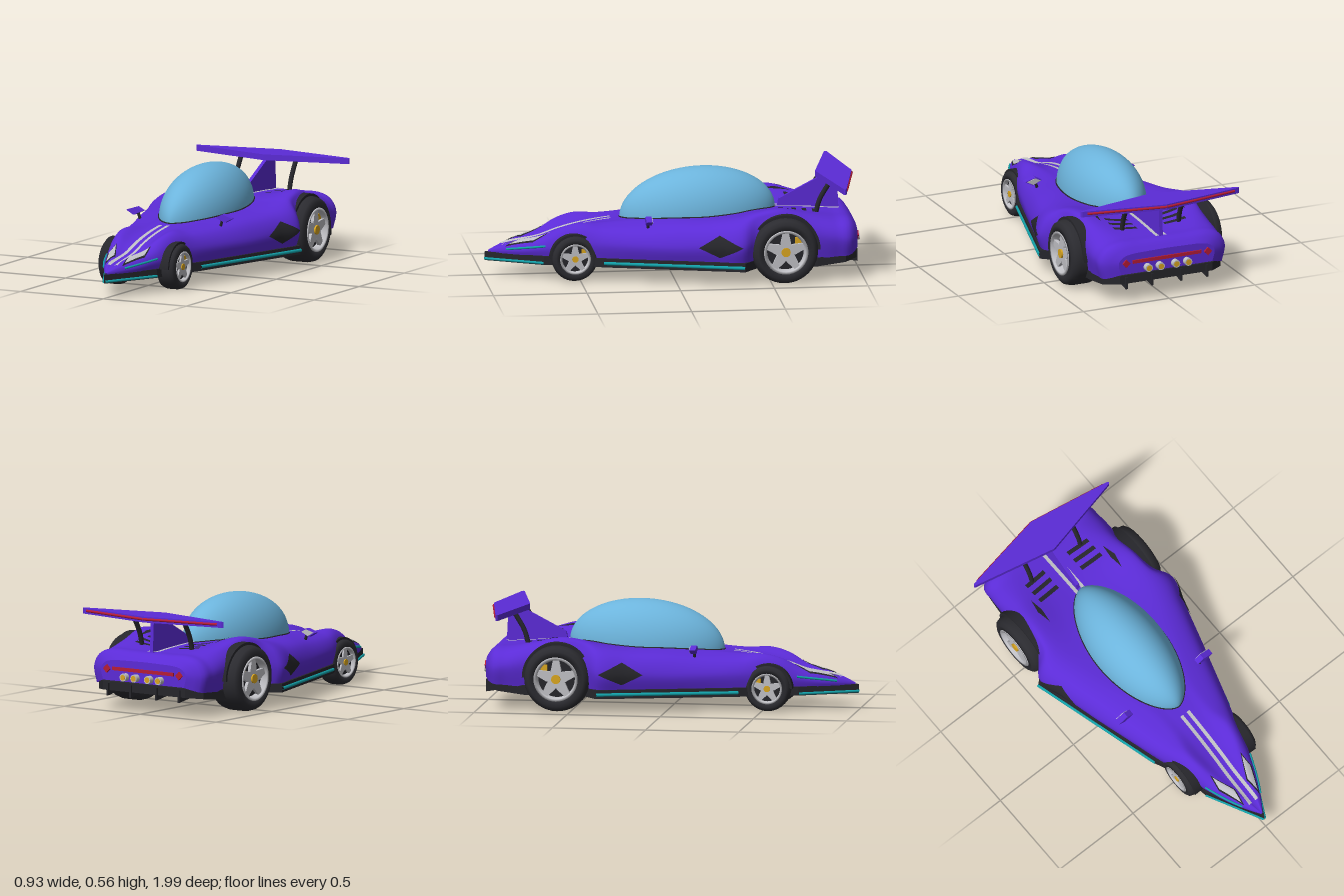
import * as THREE from 'three';

const mat = (name, color) => new THREE.MeshStandardMaterial({ name, color, side: THREE.DoubleSide });
const V = (x, y, z) => new THREE.Vector3(x, y, z);

// Body sections, back to front: z, half width, bottom y, waist y, fender x, fender y, centre y
const SECTIONS = [
  [-0.97, 0.28, 0.16, 0.22, 0.20, 0.27, 0.275], [-0.94, 0.345, 0.14, 0.22, 0.24, 0.308, 0.308],
  [-0.85, 0.368, 0.13, 0.23, 0.25, 0.322, 0.32], [-0.7, 0.37, 0.12, 0.25, 0.28, 0.355, 0.33],
  [-0.55, 0.38, 0.12, 0.27, 0.31, 0.388, 0.335], [-0.42, 0.398, 0.12, 0.24, 0.325, 0.37, 0.335],
  [-0.35, 0.452, 0.12, 0.215, 0.33, 0.35, 0.33], [-0.2, 0.415, 0.12, 0.21, 0.29, 0.325, 0.325],
  [0, 0.36, 0.12, 0.2, 0.22, 0.318, 0.32], [0.2, 0.3, 0.12, 0.2, 0.15, 0.305, 0.305],
  [0.38, 0.245, 0.12, 0.2, 0.13, 0.295, 0.285], [0.5, 0.205, 0.125, 0.2, 0.135, 0.298, 0.262],
  [0.6, 0.18, 0.125, 0.18, 0.12, 0.272, 0.235], [0.7, 0.145, 0.125, 0.165, 0.09, 0.22, 0.2],
  [0.8, 0.105, 0.125, 0.15, 0.055, 0.195, 0.18], [0.9, 0.05, 0.125, 0.14, 0.025, 0.165, 0.16],
  [0.97, 0.004, 0.125, 0.13, 0.002, 0.135, 0.135],
];
const along = new THREE.CubicInterpolant(SECTIONS.map(s => s[0]), SECTIONS.flatMap(s => s.slice(1)), 6);

// Cross-section curve of the body at z, running from -x over the top to +x
function section(z) {
  const [w, yb, ym, xs, ys, yc] = along.evaluate(z);
  const half = [[xs * 0.5, yc + (ys - yc) * 0.3], [xs, ys],
    [xs + 0.68 * (w - xs), ym + 0.7 * (ys - ym)], [w, ym], [w * 0.95, yb]];
  const pts = [...half.map(([x, y]) => [-x, y]).reverse(), [0, yc], ...half];
  return new THREE.SplineCurve(pts.map(p => new THREE.Vector2(...p)));
}
// Finds the surface where test() turns true along the +x half of the section
function find(z, lo, hi, test) {
  const c = section(z);
  for (let i = 0; i < 22; i++) {
    const m = (lo + hi) / 2;
    if (test(c.getPoint(m))) hi = m; else lo = m;
  }
  return c.getPoint(lo);
}
const topY = (x, z) => find(z, 0.5, 0.9, p => p.x > Math.abs(x)).y;
const sideX = (y, z) => find(z, 0.7, 1, p => p.y < y).x;

// Surface from a grid of points
function grid(nu, nv, fn) {
  const pos = [], idx = [];
  for (let i = 0; i <= nu; i++) for (let j = 0; j <= nv; j++) {
    pos.push(...fn(i / nu, j / nv));
    if (i < nu && j < nv) {
      const a = i * (nv + 1) + j, b = a + nv + 1;
      idx.push(a, b, a + 1, b, b + 1, a + 1);
    }
  }
  const g = new THREE.BufferGeometry();
  g.setAttribute('position', new THREE.Float32BufferAttribute(pos, 3));
  g.setIndex(idx);
  g.computeVertexNormals();
  return g;
}
// Four-cornered plate laid onto a surface
const patch = (c, map, n = 10) => grid(n, n, (s, t) => {
  const mix = k => (c[0][k] * (1 - s) + c[1][k] * s) * (1 - t) + (c[3][k] * (1 - s) + c[2][k] * s) * t;
  return map(mix(0), mix(1));
});
const onTop = h => (x, z) => [x, topY(x, z) + h, z];
const rect = (x0, x1, z0, z1) => [[x0, z0], [x0, z1], [x1, z1], [x1, z0]];
const extrude = (pts, depth) => new THREE.ExtrudeGeometry(
  new THREE.Shape(pts.map(p => new THREE.Vector2(...p))), { depth, bevelEnabled: false });
// Horizontal slab from an x,z outline; upright plate from a z,y outline
const slab = (pts, top, depth) => extrude(pts, depth).rotateX(Math.PI / 2).translate(0, top, 0);
const upright = (pts, x, t) => extrude(pts, t).rotateY(-Math.PI / 2).translate(x + t / 2, 0, 0);
const bar = (pts, r) => new THREE.TubeGeometry(new THREE.CatmullRomCurve3(pts), (pts.length - 1) * 6, r, 8);
const mirrored = half => [...half, ...half.filter(p => p[0] > 0).map(([x, z]) => [-x, z]).reverse()];

export function createModel() {
  const paint = mat('purple paint', 0x5b2bd6), glass = mat('blue glass', 0x6cb4dc);
  const dark = mat('dark trim', 0x26262b), rubber = mat('rubber', 0x2b2b30);
  const silver = mat('silver', 0xbfbfc4), teal = mat('teal strip', 0x12a0a8);
  const red = mat('red light', 0xb51c36), gold = mat('gold', 0xd9a520);
  const car = new THREE.Group();
  car.name = 'car';
  const add = (name, geo, m, parent = car) => {
    const mesh = new THREE.Mesh(geo, m);
    mesh.name = name;
    parent.add(mesh);
    return mesh;
  };

  // Body shell and flat tail
  add('bodyShell', grid(110, 60, (s, t) => {
    const z = -0.97 + 1.94 * s, p = section(z).getPoint(t);
    return [p.x, p.y, z];
  }), paint);
  add('tailPanel', new THREE.ShapeGeometry(new THREE.Shape(section(-0.97).getPoints(60)))
    .rotateY(Math.PI).translate(0, 0, -0.97), paint);

  // Floor with nose splitter and sills, rising at the rear
  const floor = slab(mirrored([[0, 0.99], [0.155, 0.69], [0.17, 0.6], [0.195, 0.5], [0.25, 0.38],
    [0.455, -0.35], [0.37, -0.42], [0.355, -0.75], [0.345, -0.9], [0.27, -0.965]]), 0.127, 0.047);
  const fp = floor.attributes.position;
  for (let i = 0; i < fp.count; i++) fp.setY(i, fp.getY(i) + Math.max(0, -0.75 - fp.getZ(i)) * 0.12);
  floor.computeVertexNormals();
  add('floor', floor, dark);

  // Canopy and its rim
  const canopyZ = u => -0.145 + 0.415 * u;
  const canopyW = u => 0.195 * Math.pow(Math.max(0, 1 - u * u), 0.6);
  add('canopy', grid(48, 40, (s, t) => {
    const a = Math.PI * (1 - s), b = Math.PI * (1 - t), u = Math.cos(a);
    return [canopyW(u) * Math.cos(b), 0.315 - 0.02 * u + 0.245 * Math.sin(a) * Math.sin(b), canopyZ(u)];
  }), glass);
  const rim = [];
  for (let i = 0; i < 48; i++) {
    const a = i / 48 * Math.PI * 2, u = Math.cos(a), x = Math.sign(Math.sin(a)) * canopyW(u);
    rim.push(V(x, topY(x, canopyZ(u)), canopyZ(u)));
  }
  add('canopyRim', new THREE.TubeGeometry(new THREE.CatmullRomCurve3(rim, true), 96, 0.005, 6, true), dark);

  // Wing on a centre fin
  add('wing', slab([[0, -0.97], [0.455, -0.89], [0.462, -0.883], [0.455, -0.876], [0, -0.775],
    [-0.455, -0.876], [-0.462, -0.883], [-0.455, -0.89]], 0.519, 0.031), paint);
  add('wingFin', upright([[-0.57, 0.32], [-0.58, 0.375], [-0.82, 0.5], [-0.89, 0.5], [-0.9, 0.3]], 0, 0.02), paint);

  // Wheel facing +x
  function wheel(name, r, hw) {
    const g = new THREE.Group(), rin = r * 0.66;
    g.name = name;
    const turn = pts => new THREE.LatheGeometry(pts.map(p => new THREE.Vector2(...p)), 40).rotateZ(-Math.PI / 2);
    const disc = (rad, len, x) => new THREE.CylinderGeometry(rad, rad, len, 28).rotateZ(-Math.PI / 2).translate(x, 0, 0);
    add('tire', turn([[0, -hw], [r * 0.84, -hw], [r * 0.95, -hw * 0.85], [r, -hw * 0.5], [r, hw * 0.5],
      [r * 0.95, hw * 0.85], [r * 0.84, hw], [rin, hw], [rin, hw * 0.5]]), rubber, g);
    add('wheelWell', disc(rin, 0.01, hw * 0.55), dark, g);
    add('rimRing', turn([[rin, hw * 0.5], [rin * 1.02, hw * 1.03], [rin * 0.9, hw * 1.03], [rin * 0.84, hw * 0.6]]), silver, g);
    for (let i = 0; i < 5; i++) {
      const spoke = extrude([[-0.2 * rin, 0], [-0.24 * rin, 0.4 * rin], [-0.13 * rin, 0.92 * rin],
        [0.13 * rin, 0.92 * rin], [0.24 * rin, 0.4 * rin], [0.2 * rin, 0]], hw * 0.2)
        .rotateY(Math.PI / 2).translate(hw * 0.7, 0, 0).rotateX(i * Math.PI * 0.4);
      add('spoke', spoke, silver, g);
    }
    add('brakeCaliper', new THREE.BoxGeometry(hw * 0.12, rin * 0.4, rin * 0.3)
      .translate(hw * 0.66, rin * 0.45, -rin * 0.58), gold, g);
    add('hub', disc(rin * 0.21, hw * 0.2, hw * 0.9), gold, g);
    return g;
  }

  // Everything that is paired left and right
  for (const s of [1, -1]) {
    const side = new THREE.Group();
    side.name = s > 0 ? 'leftSide' : 'rightSide';
    side.scale.x = s;
    car.add(side);
    const put = (name, geo, m) => add(name, geo, m, side);

    // Wheels and arches
    for (const [name, x, y, z, r, hw, ax, ar] of [
      ['frontWheel', 0.176, 0.122, 0.53, 0.122, 0.053, 0.165, 0.132],
      ['rearWheel', 0.35, 0.178, -0.57, 0.176, 0.09, 0.345, 0.19]]) {
      const w = wheel(name, r, hw);
      w.position.set(x, y, z);
      side.add(w);
      put(name + 'Arch', new THREE.CylinderGeometry(ar, ar, 0.085, 40, 1, false, 0, Math.PI)
        .rotateZ(Math.PI / 2).translate(ax, y, z), dark);
    }

    // Stripes, headlights, deck vents and intakes
    put('hoodStripe', patch(rect(0.012, 0.031, 0.32, 0.9), onTop(0.004), 24), silver);
    put('deckStripe', patch(rect(0.012, 0.031, -0.9, -0.55), onTop(0.004), 16), silver);
    put('headlightFrame', patch([[0.04, 0.79], [0.052, 0.885], [0.112, 0.745], [0.104, 0.66]], onTop(0.003)), dark);
    put('headlight', patch([[0.047, 0.79], [0.056, 0.865], [0.106, 0.74], [0.1, 0.675]], onTop(0.006)), silver);
    for (let i = 0; i < 3; i++) {
      const z = -0.65 - i * 0.055;
      put('deckVent', patch([[0.08, z - 0.012], [0.08, z + 0.012], [0.21, z + 0.022], [0.21, z - 0.002]], onTop(0.004)), dark);
    }
    put('fenderIntake', patch([[0.245, -0.67], [0.262, -0.59], [0.245, -0.51], [0.235, -0.59]], onTop(0.004)), dark);
    put('sideVent', patch([[0.205, -0.11], [0.272, -0.22], [0.21, -0.34], [0.152, -0.22]],
      (y, z) => [sideX(y, z) + 0.006, y, z]), dark);

    // Teal strips
    put('sillStrip', bar([V(0.252, 0.102, 0.38), V(0.458, 0.102, -0.35)], 0.009), teal);
    put('splitterStrip', bar([V(0.004, 0.09, 0.988), V(0.156, 0.09, 0.69)], 0.007), teal);
    put('noseStrip', bar([0.88, 0.82, 0.75, 0.68].map((z, i) => {
      const y = 0.15 + i * 0.01;
      return V(sideX(y, z) + 0.002, y, z);
    }), 0.006), teal);

    // Door mirror
    const mirror = [[0.222, 0.332], [0.26, 0.352], [0.32, 0.333], [0.275, 0.308]];
    put('mirrorHousing', extrude(mirror, 0.032).translate(0, 0, 0.128), paint);
    put('mirrorGlass', extrude(mirror, 0.003)
      .translate(-0.27, -0.331, 0).scale(0.8, 0.8, 1).translate(0.27, 0.331, 0.124), silver);
    put('mirrorStalk', bar([V(0.235, 0.265, 0.145), V(0.256, 0.325, 0.145)], 0.008), dark);

    // Wing strut and red edge
    put('wingStrut', bar([V(0.165, 0.31, -0.755), V(0.165, 0.4, -0.78), V(0.165, 0.495, -0.835)], 0.013), dark);
    put('wingEdge', bar([V(0, 0.505, -0.97), V(0.43, 0.505, -0.894)], 0.007), red);

    // Tail light diamond, exhausts and diffuser fins
    put('tailDiamond', new THREE.BoxGeometry(0.032, 0.032, 0.014).rotateZ(Math.PI / 4).translate(0.238, 0.222, -0.972), red);
    for (const x of [0.045, 0.115]) {
      put('exhaust', new THREE.CylinderGeometry(0.021, 0.021, 0.05, 20).rotateX(Math.PI / 2).translate(x, 0.186, -0.974), silver);
      put('exhaustBore', new THREE.CylinderGeometry(0.015, 0.015, 0.004, 20).rotateX(Math.PI / 2).translate(x, 0.186, -0.999), gold);
    }
    for (const x of [0.085, 0.235])
      put('diffuserFin', upright([[-0.83, 0.1], [-0.975, 0.078], [-0.975, 0.145], [-0.85, 0.13]], x, 0.012), dark);
  }
  add('tailLightBar', new THREE.BoxGeometry(0.4, 0.018, 0.012).translate(0, 0.226, -0.972), red);
  return car;
}
